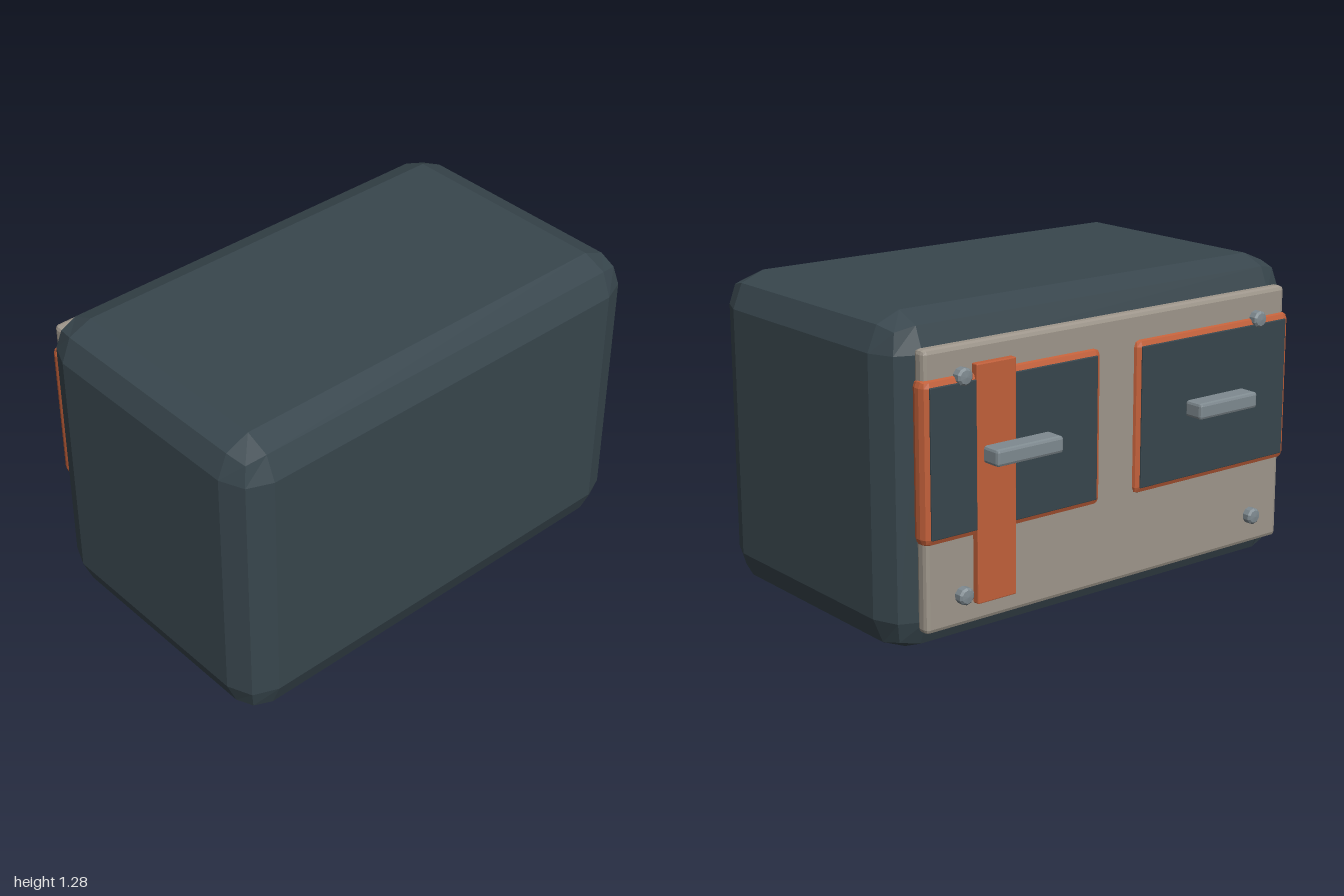
import * as THREE from 'three';
import { RoundedBoxGeometry } from 'three/addons/geometries/RoundedBoxGeometry.js';

const flat = (name, color) => {
  const m = new THREE.MeshStandardMaterial({ color });
  m.name = name;
  return m;
};

export function createModel() {
  const slate = flat('slate', 0x38464d);
  const stone = flat('stone', 0x9f978c);
  const rust = flat('rust', 0xc2603a);
  const steel = flat('steel', 0x7f8a90);

  const model = new THREE.Group();
  model.name = 'equipmentCase';

  // Faceted bevelled box given by its min and max corners
  const block = (name, mat, [x0, y0, z0], [x1, y1, z1], bevel) => {
    const rounded = new RoundedBoxGeometry(x1 - x0, y1 - y0, z1 - z0, 1, bevel);
    const geo = rounded.index ? rounded.toNonIndexed() : rounded;
    geo.computeVertexNormals(); // unshared corners give flat facets
    const mesh = new THREE.Mesh(geo, mat);
    mesh.name = name;
    mesh.position.set((x0 + x1) / 2, (y0 + y1) / 2, (z0 + z1) / 2);
    model.add(mesh);
  };

  // Main body and the plate on its back
  block('body', slate, [-1, 0, -0.52], [1, 1.285, 0.683], 0.14);
  block('backPlate', stone, [-0.9, 0.11, -0.575], [0.9, 1.175, -0.515], 0.018);

  // Low domed bolt head, profile turned around its axis
  const profile = [[0.034, 0], [0.034, 0.035], [0.026, 0.043], [0, 0.046]]
    .map(([r, h]) => new THREE.Vector2(r, h));
  const boltGeo = new THREE.LatheGeometry(profile, 10).toNonIndexed();
  boltGeo.computeVertexNormals();

  for (const side of [1, -1]) {
    const cx = 0.5 * side;
    const name = side > 0 ? 'left' : 'right';

    // Framed door with its inset panel and handle
    block(name + 'DoorFrame', rust, [cx - 0.415, 0.45, -0.595], [cx + 0.415, 1.07, -0.512], 0.03);
    block(name + 'DoorPanel', slate, [cx - 0.388, 0.477, -0.6], [cx + 0.388, 1.043, -0.591], 0.003);
    block(name + 'Handle', steel, [cx - 0.155, 0.727, -0.683], [cx + 0.155, 0.793, -0.592], 0.012);

    // Bolts near the plate corners
    for (const y of [0.234, 1.062]) {
      const bolt = new THREE.Mesh(boltGeo, steel);
      bolt.name = name + (y < 0.6 ? 'LowerBolt' : 'UpperBolt');
      bolt.rotation.x = -Math.PI / 2;
      bolt.position.set(0.737 * side, y, -0.568);
      model.add(bolt);
    }
  }

  // Vertical strap across the left door
  block('strap', rust, [0.505, 0.19, -0.603], [0.685, 1.1, -0.57], 0.004);

  return model;
}
